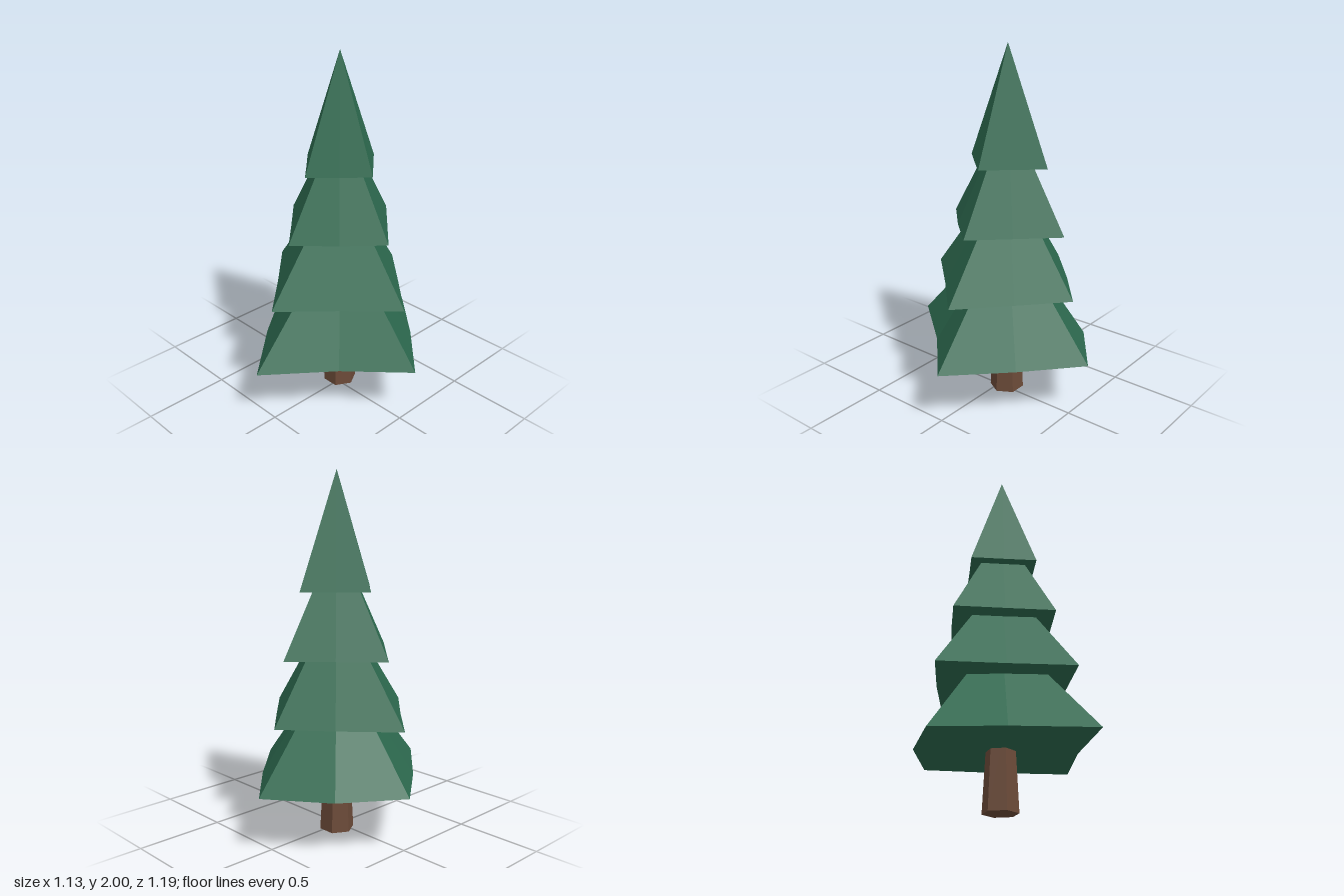
import * as THREE from 'three';

const CX = -0.025, CZ = -0.04; // tree axis

// Closed eight-sided cone whose rim radii vary; radii run from +x towards +z.
function branchTier(radii, height) {
  const n = radii.length;
  const rim = radii.map((r, i) => {
    const a = (i / n) * Math.PI * 2;
    return [Math.cos(a) * r, 0, Math.sin(a) * r];
  });
  const pos = [];
  for (let i = 0; i < n; i++) {
    const a = rim[i], b = rim[(i + 1) % n];
    pos.push(...b, ...a, 0, height, 0); // sloping side
    pos.push(...a, ...b, 0, 0, 0);      // underside
  }
  const geo = new THREE.BufferGeometry();
  geo.setAttribute('position', new THREE.Float32BufferAttribute(pos, 3));
  geo.computeVertexNormals();
  return geo;
}

export function createModel() {
  const model = new THREE.Group();
  model.name = 'pineTree';
  const needles = new THREE.MeshStandardMaterial({ color: 0x2d6a4f, flatShading: true });
  needles.name = 'needleGreen';
  const bark = new THREE.MeshStandardMaterial({ color: 0x6b4a38, flatShading: true });
  bark.name = 'barkBrown';

  // Tapered six-sided trunk, reaching up into the lowest tier
  const trunk = new THREE.Mesh(new THREE.CylinderGeometry(0.075, 0.097, 0.42, 6), bark);
  trunk.name = 'trunk';
  trunk.rotation.y = Math.PI / 6;
  trunk.position.set(CX, 0.21, CZ);
  model.add(trunk);

  // Four overlapping tiers: base height, cone height, rim radii
  const tiers = [
    [0.322, 0.70, [0.59, 0.405, 0.635, 0.431, 0.545, 0.453, 0.56, 0.42]],
    [0.672, 0.67, [0.495, 0.35, 0.512, 0.355, 0.505, 0.345, 0.45, 0.335]],
    [1.022, 0.64, [0.367, 0.273, 0.38, 0.27, 0.387, 0.276, 0.382, 0.265]],
    [1.372, 0.628, [0.245, 0.178, 0.255, 0.18, 0.257, 0.184, 0.267, 0.18]],
  ];
  tiers.forEach(([y, height, radii], i) => {
    const tier = new THREE.Mesh(branchTier(radii, height), needles);
    tier.name = `branchTier${i + 1}`;
    tier.position.set(CX, y, CZ);
    model.add(tier);
  });
  return model;
}
